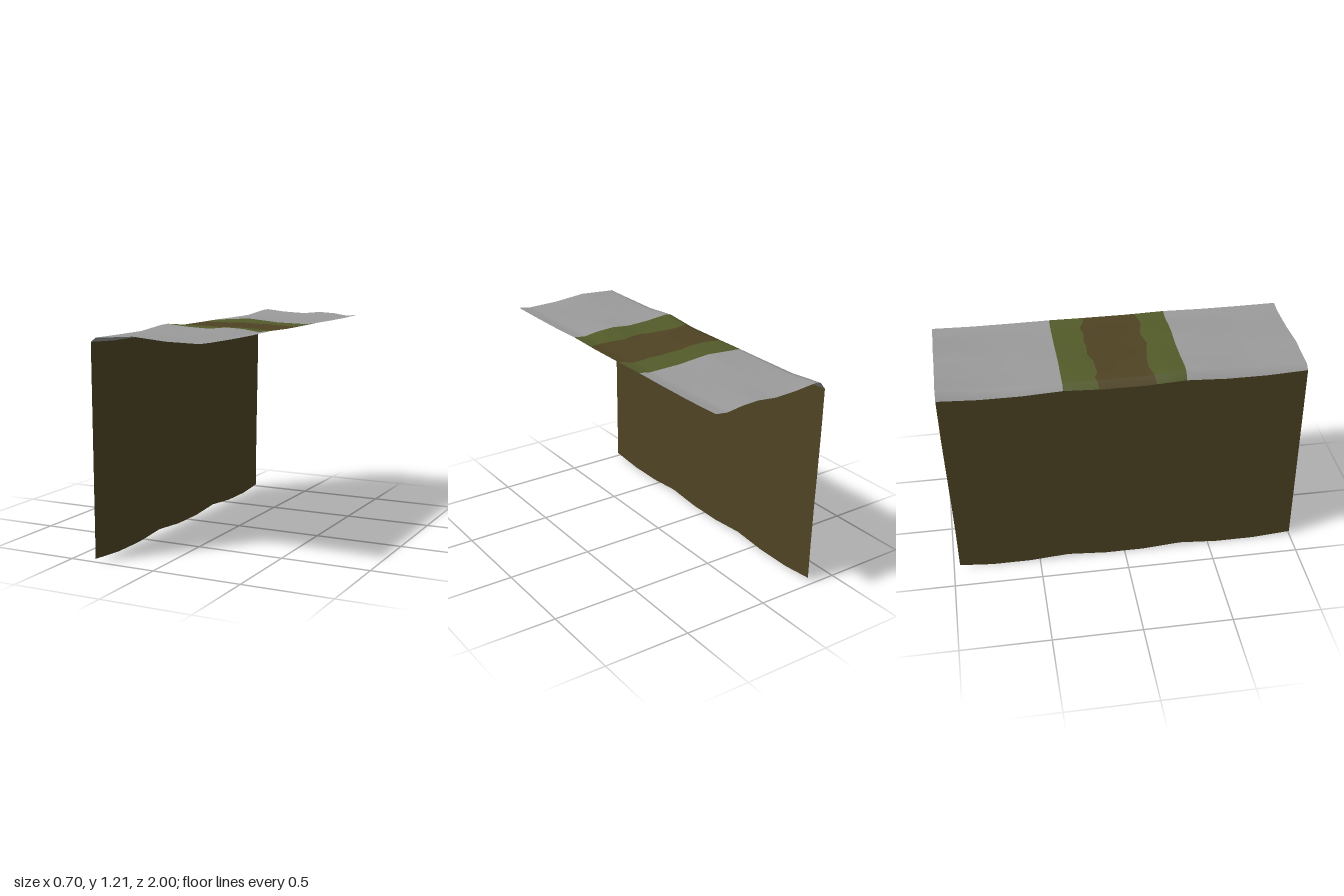
import * as THREE from 'three';

const makeMaterial = (name, hex) => {
  const m = new THREE.MeshStandardMaterial({ color: hex, side: THREE.DoubleSide });
  m.name = name;
  return m;
};

// Piecewise linear lookup through [position, value] points
function sample(points, p) {
  for (let i = 1; i < points.length; i++) {
    const [a, va] = points[i - 1], [b, vb] = points[i];
    if (p <= b || i === points.length - 1) {
      return va + (vb - va) * THREE.MathUtils.clamp((p - a) / (b - a), 0, 1);
    }
  }
}

// Cross-sections of the sheet (x, y): low between the seams, raised at them
const LOW = [[-0.35, 1.154], [-0.32, 1.187], [-0.28, 1.19], [-0.1, 1.19], [0.09, 1.187], [0.28, 1.18], [0.35, 1.19]];
const SEAM_A = [[-0.35, 1.165], [-0.32, 1.188], [-0.28, 1.19], [-0.1, 1.202], [0.09, 1.185], [0.28, 1.181], [0.35, 1.192]];
const SEAM_B = [[-0.35, 1.166], [-0.32, 1.205], [-0.28, 1.212], [-0.16, 1.2], [-0.02, 1.194], [0.09, 1.205], [0.19, 1.2], [0.28, 1.187], [0.35, 1.195]];
const PROFILES = [SEAM_B, LOW, LOW, SEAM_A, LOW, LOW, SEAM_B, LOW, LOW, SEAM_A];
const STATIONS = PROFILES.map((_, i) => -1 + (i * 2) / 9);
const height = (x, z) => sample(PROFILES.map((p, i) => [STATIONS[i], sample(p, x)]), z);

// Ragged borders of the dirt path (x, z)
const PATH_BACK = [[-0.35, -0.14], [-0.28, -0.155], [-0.24, -0.137], [-0.12, -0.14], [-0.05, -0.165], [0.04, -0.157], [0.09, -0.167], [0.17, -0.155], [0.26, -0.166], [0.31, -0.142], [0.35, -0.135]];
const PATH_FRONT = [[-0.35, 0.17], [-0.3, 0.16], [-0.22, 0.145], [-0.1, 0.155], [0.02, 0.18], [0.12, 0.16], [0.19, 0.17], [0.26, 0.187], [0.31, 0.175], [0.35, 0.16]];

// Grid surface from a rule; bands gives a material index for each row of cells
function gridSurface(columns, rows, point, bands) {
  const positions = [], index = [];
  const geometry = new THREE.BufferGeometry();
  for (let r = 0; r < rows; r++) {
    for (let c = 0; c < columns; c++) positions.push(...point(c, r));
  }
  for (let r = 0; r < rows - 1; r++) {
    if (bands) geometry.addGroup(index.length, (columns - 1) * 6, bands[r]);
    for (let c = 0; c < columns - 1; c++) {
      const a = r * columns + c, b = a + columns;
      index.push(a, b, a + 1, b, b + 1, a + 1);
    }
  }
  geometry.setAttribute('position', new THREE.Float32BufferAttribute(positions, 3));
  geometry.setIndex(index);
  geometry.computeVertexNormals();
  return geometry;
}

export function createModel() {
  const stone = makeMaterial('grey stone', 0x9b9b9b);
  const grass = makeMaterial('dark grass', 0x535b2a);
  const dirt = makeMaterial('brown dirt', 0x4f4323);
  const earth = makeMaterial('earth wall', 0x4e4423);
  const group = new THREE.Group();
  group.name = 'cliffLedge';

  // Ground sheet with its rounded lip, in bands of stone, grass and dirt
  const xs = [...new Set([LOW, SEAM_B, PATH_BACK, PATH_FRONT].flat().map(([x]) => x))].sort((a, b) => a - b);
  const rows = [...STATIONS.slice(0, 4), PATH_BACK, ...STATIONS.slice(4, 6), PATH_FRONT, ...STATIONS.slice(6)];
  const bands = [0, 0, 0, 1, 2, 2, 2, 1, 0, 0, 0];
  const sheet = gridSurface(xs.length, rows.length, (c, r) => {
    const x = xs[c];
    const z = Array.isArray(rows[r]) ? sample(rows[r], x) : rows[r];
    return [x, height(x, z), z];
  }, bands);
  const ground = new THREE.Mesh(sheet, [stone, grass, dirt]);
  ground.name = 'groundSheet';
  group.add(ground);

  // Cliff wall under the lip, wavy at the foot and drawn in at the back end
  const backEdge = [[0, -0.965], [0.35, -0.972], [0.8, -0.99], [1.1, -1]];
  const wallGeometry = gridSurface(STATIONS.length, 6, (c, r) => {
    const z = STATIONS[c];
    const top = height(-0.35, z);
    const foot = c % 3 === 0 ? 0.018 : 0;
    const y = top + (foot - top) * (r / 5);
    return [-0.35, y, c === 0 ? sample(backEdge, y) : z];
  });
  const wall = new THREE.Mesh(wallGeometry, earth);
  wall.name = 'cliffWall';
  group.add(wall);

  return group;
}
